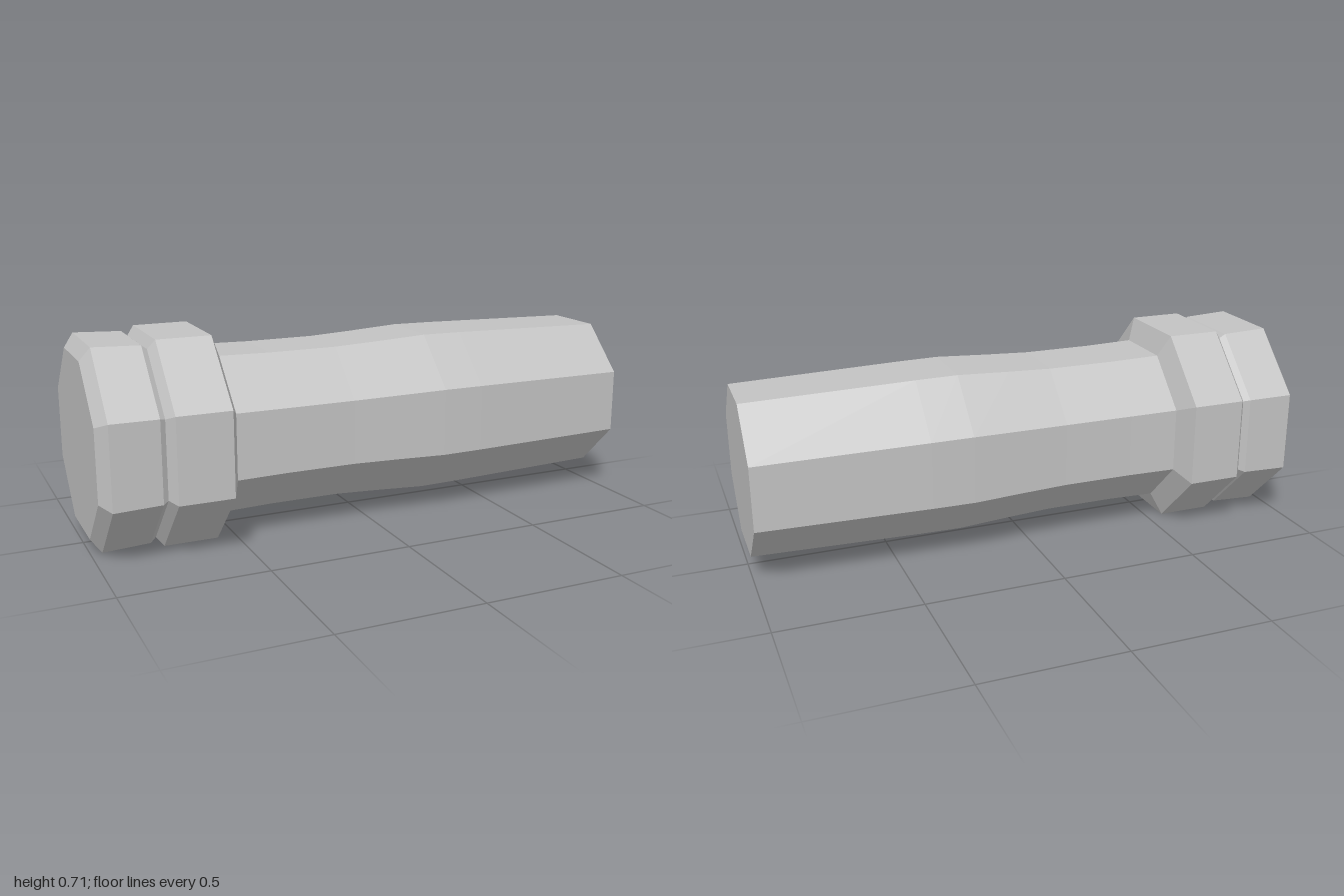
import * as THREE from 'three';

const SIDES = 8;
const AXIS_Y = 0.357;

// Octagonal sleeve along x; profile holds [x, distance from axis to flat side]
function octagonPart(name, profile, material) {
  const points = profile.map(([x, flat]) => new THREE.Vector2(flat / Math.cos(Math.PI / SIDES), x));
  const geometry = new THREE.LatheGeometry(points, SIDES, Math.PI / SIDES);
  geometry.rotateZ(-Math.PI / 2);
  const mesh = new THREE.Mesh(geometry, material);
  mesh.name = name;
  mesh.position.y = AXIS_Y;
  return mesh;
}

export function createModel() {
  const grey = new THREE.MeshStandardMaterial({ color: 0xc2c2c2, flatShading: true });
  grey.name = 'light grey';

  const model = new THREE.Group();
  model.name = 'octagonalHandle';
  model.add(
    // Bevelled pommel with its closed end
    octagonPart('pommel', [[-1, 0], [-1, 0.302], [-0.965, 0.348], [-0.8, 0.341], [-0.78, 0.325]], grey),
    // Wider band with a steep shoulder down to the grip
    octagonPart('collar', [[-0.78, 0.325], [-0.755, 0.357], [-0.565, 0.357], [-0.53, 0.278]], grey),
    // Gently swelling grip, closed at the far end
    octagonPart('grip', [[-0.53, 0.278], [-0.35, 0.274], [-0.1, 0.274], [0.06, 0.281],
      [0.25, 0.291], [0.4, 0.289], [1, 0.275], [1, 0]], grey),
  );
  return model;
}
